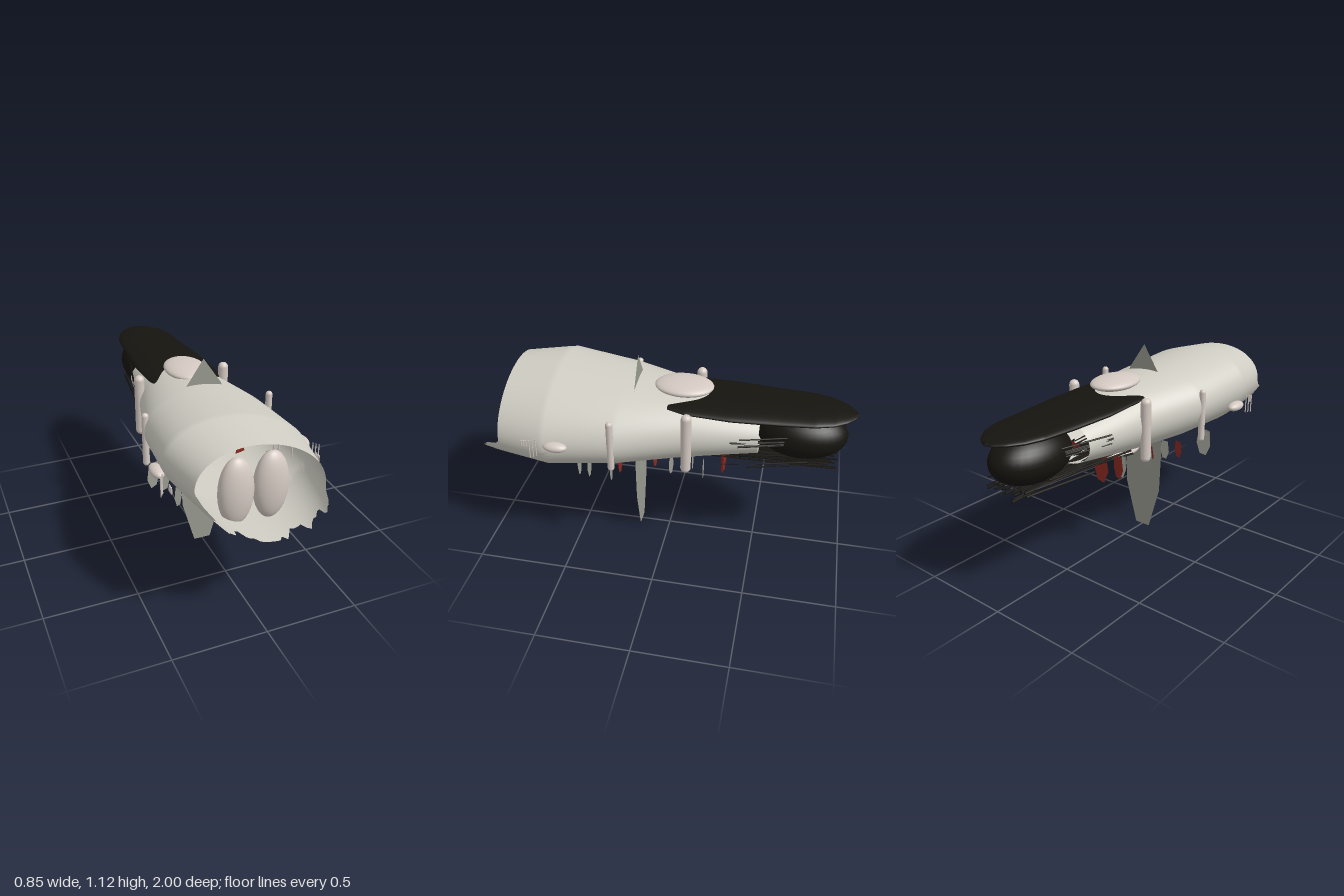
import * as THREE from 'three';
import { ParametricGeometry } from 'three/addons/geometries/ParametricGeometry.js';

const mat = (color) => new THREE.MeshStandardMaterial({ color, side: THREE.DoubleSide });

// Small seeded generator: rand(a, b) gives a value between a and b
function seeded(seed) {
  return (a = 0, b = 1) => {
    seed = (seed * 16807) % 2147483647;
    return a + (b - a) * (seed / 2147483647);
  };
}

// Linear lookup in rows sorted by their first entry, z
function sample(rows, z) {
  let i = 0;
  while (i < rows.length - 2 && z > rows[i + 1][0]) i++;
  const t = THREE.MathUtils.clamp((z - rows[i][0]) / (rows[i + 1][0] - rows[i][0]), 0, 1);
  return rows[i].map((v, k) => THREE.MathUtils.lerp(v, rows[i + 1][k], t));
}

// Elliptical tube along z; rows are z, half width, top, bottom, shear
function loft(rows, zEnd, slices, stacks) {
  const z0 = rows[0][0];
  return new ParametricGeometry((u, v, p) => {
    const a = u * Math.PI * 2;
    const z = THREE.MathUtils.lerp(z0, zEnd(a), v);
    const [, w, top, bottom, k] = sample(rows, z);
    const h = (top - bottom) / 2;
    const b = Math.sqrt(Math.max(0, h * h - k * k * w * w));
    const x = w * Math.cos(a);
    p.set(x, (top + bottom) / 2 + b * Math.sin(a) - k * x, z);
  }, slices, stacks);
}

const HULL = [
  [-0.5, 0.185, 0.88, 0.64, 0],
  [-0.14, 0.25, 0.945, 0.585, 0.04],
  [0.23, 0.355, 0.985, 0.55, 0.1],
  [0.6, 0.392, 1.022, 0.522, 0.16],
  [0.87, 0.335, 0.99, 0.532, 0.16],
  [1.0, 0.3, 0.97, 0.536, 0.16],
];

const CAP = [
  [-1.0, 0.001, 0.893, 0.889, 0],
  [-0.985, 0.04, 0.9, 0.883, 0],
  [-0.95, 0.085, 0.908, 0.878, 0],
  [-0.88, 0.135, 0.918, 0.87, 0],
  [-0.78, 0.167, 0.924, 0.865, 0],
  [-0.6, 0.183, 0.926, 0.86, 0],
  [-0.35, 0.203, 0.93, 0.865, 0],
  [-0.12, 0.2, 0.932, 0.88, 0],
  [-0.02, 0.175, 0.93, 0.895, 0],
  [0.04, 0.001, 0.915, 0.912, 0],
];

export function createModel() {
  const group = new THREE.Group();
  const rand = seeded(4711);
  const shellMat = mat(0xcfcdc3), podMat = mat(0xd4c9c2), blackMat = mat(0x16140f);
  const finMat = mat(0x989a90), redMat = mat(0x8a2a22);

  const add = (name, geometry, material, x = 0, y = 0, z = 0) => {
    const mesh = new THREE.Mesh(geometry, material);
    mesh.name = name;
    mesh.position.set(x, y, z);
    group.add(mesh);
    return mesh;
  };
  const ellipsoid = (name, material, x, y, z, rx, ry, rz) =>
    add(name, new THREE.SphereGeometry(1, 32, 20), material, x, y, z).scale.set(rx, ry, rz);
  const rod = (name, material, from, to, r, sides = 6) => {
    const a = new THREE.Vector3(...from), b = new THREE.Vector3(...to);
    const mesh = add(name, new THREE.CylinderGeometry(r, r, a.distanceTo(b), sides), material);
    mesh.position.copy(a).add(b).multiplyScalar(0.5);
    mesh.quaternion.setFromUnitVectors(new THREE.Vector3(0, 1, 0), b.sub(a).normalize());
    return mesh;
  };

  // Hollow hull with a torn lower lip at the front
  const lip = (a) => {
    const low = THREE.MathUtils.smoothstep(-Math.sin(a), 0.02, 0.25);
    const tear = 0.65 + 0.22 * Math.sin(a * 13) + 0.13 * Math.cos(a * 29);
    return 0.87 + 0.13 * low * Math.max(tear, Math.abs(Math.cos(a)) < 0.15 ? 0.95 : 0);
  };
  add('hull', loft(HULL, lip, 96, 40), shellMat);

  // Dark tail: flat cap above a rounded bulb
  add('tailCap', loft(CAP, () => 0.04, 48, 50), blackMat);
  ellipsoid('tailBulb', blackMat, 0, 0.755, -0.72, 0.16, 0.135, 0.24);

  // Dark strands trailing below the tail
  for (let i = 0; i < 70; i++) {
    const x = rand(-0.17, 0.17), front = rand(-0.5, 0), back = rand(-0.92, -0.62);
    rod('tailStrand', blackMat, [x * 1.1, rand(0.61, 0.65), front],
      [x * 0.75, 0.575 + Math.abs(x) * 0.25 + rand(0, 0.045), back], rand(0.003, 0.008), 5);
  }

  // Twin front pods, and flattened pods above and below
  for (const s of [1, -1]) ellipsoid('frontPod', podMat, s * 0.091, 0.705, 0.78, 0.091, 0.183, 0.06);
  ellipsoid('topPod', podMat, 0, 0.965, -0.08, 0.115, 0.035, 0.158);
  ellipsoid('bottomPod', podMat, 0, 0.58, -0.07, 0.115, 0.035, 0.15);

  // Thin upright fin crossing the hull
  const half = [[0.048, 0], [0.12, 0.255], [0.13, 0.5], [0.125, 0.88], [0.1, 0.97], [0.066, 1.02]];
  const outline = [...half, [0, 1.118], ...half.map(([x, y]) => [-x, y]).reverse()];
  const finShape = new THREE.Shape(outline.map(([x, y]) => new THREE.Vector2(x, y)));
  add('fin', new THREE.ShapeGeometry(finShape), finMat, 0, 0, 0.17);

  for (const s of [1, -1]) {
    // Side posts
    add('rearPost', new THREE.CapsuleGeometry(0.028, 0.3, 6, 16), podMat, s * 0.25, 0.762, -0.135);
    add('middlePost', new THREE.CapsuleGeometry(0.018, 0.265, 6, 16), podMat, s * 0.347, 0.758, 0.245);

    // Side pod with fine needles beside it
    ellipsoid('sidePod', podMat, s * 0.39, 0.745, 0.53, 0.035, 0.026, 0.065);
    for (let i = 0; i < 3; i++) {
      const x = s * (0.398 + 0.009 * i), z = 0.632 + i * 0.014;
      rod('needle', podMat, [x, 0.68, z], [x, 0.785, z], 0.003);
      rod('shortNeedle', podMat, [s * 0.385, 0.725, 0.69 + i * 0.013], [s * 0.385, 0.76, 0.69 + i * 0.013], 0.004);
    }

    // Needles and dark stubs inside the hull
    for (const [x, y, z] of [[0.225, 0.8, 0.55], [0.28, 0.76, 0.5], [0.3, 0.77, 0.6]]) {
      rod('innerNeedle', podMat, [s * x, y - 0.06, z], [s * x, y + 0.07, z], 0.004);
    }
    for (let i = 0; i < 8; i++) {
      rod('innerStub', blackMat, [s * 0.17, rand(0.77, 0.84), rand(0.15, 0.3)],
        [s * rand(0.22, 0.28), rand(0.75, 0.83), rand(0.3, 0.38)], 0.009, 8);
    }
    // Dark strands along the sides, ahead of the bulb
    for (let i = 0; i < 6; i++) {
      const y = rand(0.74, 0.8);
      rod('sideStrand', blackMat, [s * 0.21, y, rand(-0.42, -0.34)], [s * 0.14, y, -0.65], 0.004, 5);
    }
  }

  // Ragged leaves hanging under the hull: x, bottom y, z, width, height, red
  const leafShape = new THREE.Shape([[-0.2, 0], [0.25, 0.06], [0.5, 0.5], [0.38, 1], [-0.35, 0.95], [-0.5, 0.4]]
    .map(([x, y]) => new THREE.Vector2(x, y)));
  const leafGeometry = new THREE.ShapeGeometry(leafShape);
  const leaves = [
    [-0.33, 0.5, 0.3, 0.08, 0.15, 0], [0.3, 0.515, 0.38, 0.07, 0.12, 0],
    [-0.255, 0.465, 0.46, 0.04, 0.12, 0], [0.235, 0.465, 0.46, 0.04, 0.12, 0],
    [-0.29, 0.51, 0.36, 0.06, 0.12, 0], [0.33, 0.53, 0.25, 0.06, 0.11, 0],
    [-0.24, 0.5, 0.18, 0.05, 0.1, 1], [0.19, 0.477, 0.24, 0.06, 0.12, 1],
    [-0.19, 0.5, 0.12, 0.05, 0.11, 0], [0.25, 0.54, 0.1, 0.05, 0.1, 0],
    [-0.14, 0.485, 0.04, 0.07, 0.11, 1], [0.15, 0.52, 0.05, 0.05, 0.1, 1],
    [-0.09, 0.49, -0.13, 0.06, 0.12, 0], [0.11, 0.5, -0.15, 0.05, 0.12, 0],
    [-0.21, 0.51, -0.06, 0.06, 0.12, 0], [0.21, 0.53, -0.05, 0.06, 0.11, 0],
    [-0.16, 0.5, -0.23, 0.06, 0.13, 0], [0.18, 0.5, -0.22, 0.06, 0.13, 0],
    [-0.1, 0.49, -0.32, 0.09, 0.17, 1], [0.08, 0.49, -0.32, 0.1, 0.18, 1],
    [0.18, 0.55, -0.32, 0.07, 0.13, 1], [-0.2, 0.53, -0.3, 0.06, 0.13, 1],
  ];
  for (const [x, y, z, w, h, red] of leaves) {
    const leaf = add(red ? 'redLeaf' : 'greyLeaf', leafGeometry, red ? redMat : finMat, x, y, z);
    leaf.scale.set(w, h, 1);
    leaf.rotation.y = rand(-0.35, 0.35);
  }

  return group;
}
